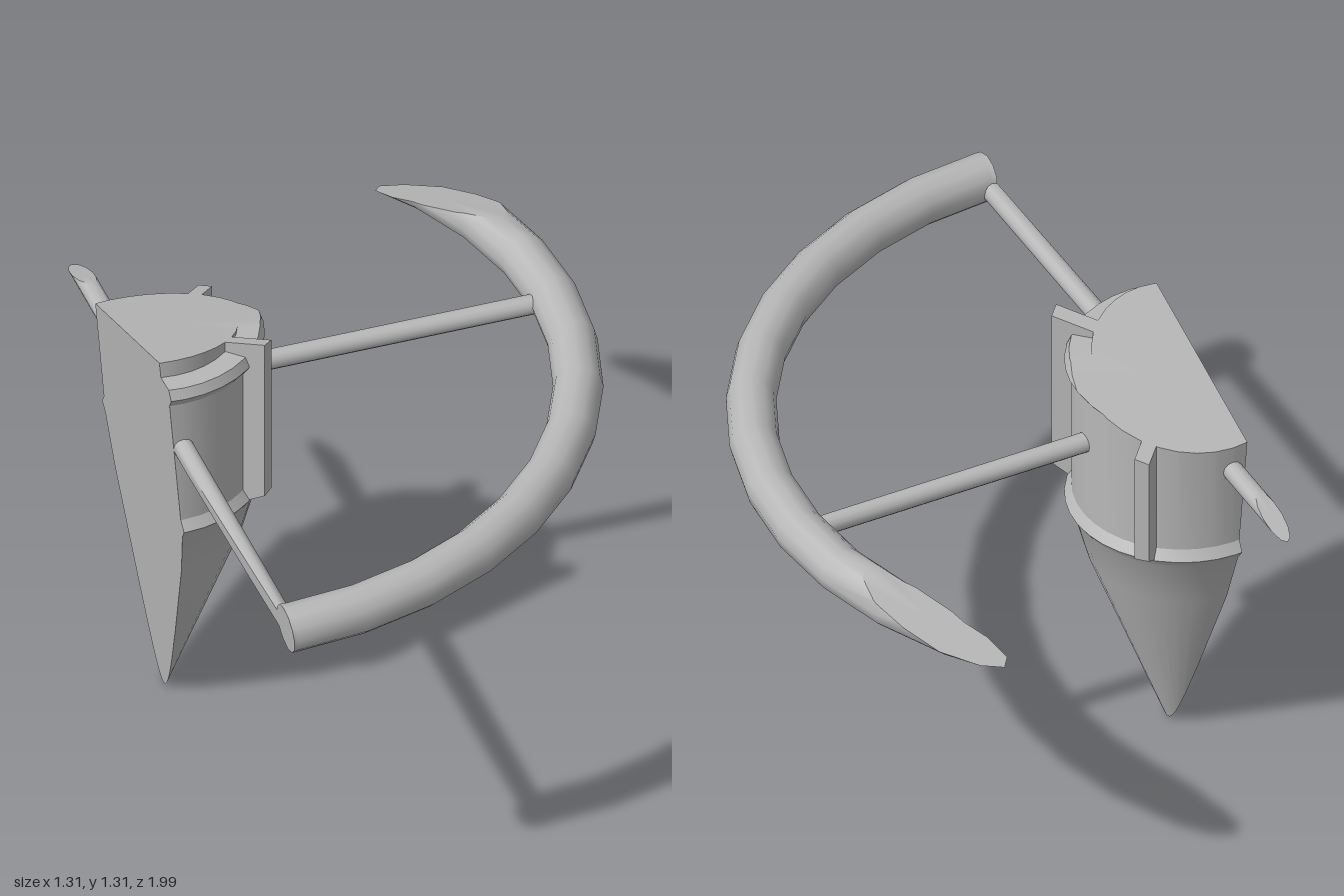
import * as THREE from 'three';
import { toCreasedNormals } from 'three/addons/utils/BufferGeometryUtils.js';

// Centre axis of the body and ring, and height of the ring
const AX = -0.605, AZ = -0.26, RING_Y = 1.045;

// Cutting planes: the kept side has a positive distance
const SIDE_CUT = { n: new THREE.Vector3(1, 0.079, -0.02), d: 0.552 };
const TOP_CUT = { n: new THREE.Vector3(0, -1, 0.333), d: 1.305 };

// Slice a list of triangle corners with a plane and cap the opening
function slice(points, { n, d }) {
  const out = [], cuts = [];
  for (let i = 0; i < points.length; i += 3) {
    const poly = [];
    let entry = null, exit = null;
    for (let k = 0; k < 3; k++) {
      const a = points[i + k], b = points[i + (k + 1) % 3];
      const da = n.dot(a) + d, db = n.dot(b) + d;
      if (da >= 0) poly.push(a);
      if ((da >= 0) !== (db >= 0)) {
        // interpolate from the kept end so shared edges match exactly
        const p = da >= 0 ? a.clone().lerp(b, da / (da - db)) : b.clone().lerp(a, db / (db - da));
        poly.push(p);
        if (da >= 0) exit = p; else entry = p;
      }
    }
    for (let k = 1; k + 1 < poly.length; k++) out.push(poly[0], poly[k], poly[k + 1]);
    if (entry && exit && entry.distanceTo(exit) > 1e-6) cuts.push([entry, exit]);
  }
  if (cuts.length) {
    const centre = new THREE.Vector3();
    let total = 0;
    for (const [a, b] of cuts) {
      const w = a.distanceTo(b);
      centre.addScaledVector(a, w / 2).addScaledVector(b, w / 2);
      total += w;
    }
    centre.divideScalar(total);
    for (const [a, b] of cuts) out.push(a, b, centre);
  }
  return out;
}

// Apply both cuts to a closed geometry and give it creased normals
function cutGeometry(geometry) {
  const pos = (geometry.index ? geometry.toNonIndexed() : geometry).attributes.position;
  let points = [];
  for (let i = 0; i < pos.count; i++) points.push(new THREE.Vector3().fromBufferAttribute(pos, i));
  points = slice(slice(points, SIDE_CUT), TOP_CUT);
  return toCreasedNormals(new THREE.BufferGeometry().setFromPoints(points), 0.55);
}

export function createModel() {
  const model = new THREE.Group();
  const grey = new THREE.MeshStandardMaterial({ color: 0xb8b8b8 });
  grey.name = 'grey';

  const add = (name, geometry) => {
    const mesh = new THREE.Mesh(cutGeometry(geometry), grey);
    mesh.name = name;
    model.add(mesh);
  };

  // Body: pointed cone, drum with two rims, and a narrower neck
  const profile = [
    [0, -0.128], [0.265, 0.58], [0.305, 0.73], [0.325, 0.76], [0.305, 0.79],
    [0.305, 1.19], [0.325, 1.22], [0.312, 1.25], [0.25, 1.25], [0.25, 1.4], [0, 1.4],
  ].map(([r, y]) => new THREE.Vector2(r, y));
  add('body', new THREE.LatheGeometry(profile, 36).translate(AX, 0, AZ));

  // Ring: part of a torus around the body
  const from = THREE.MathUtils.degToRad(-50), arc = THREE.MathUtils.degToRad(150);
  add('ring', new THREE.TorusGeometry(1.19, 0.07, 12, 15, arc)
    .rotateZ(from).rotateX(Math.PI / 2).translate(AX, RING_Y, AZ));

  // Struts from the body: angle is measured from +x towards +z
  const strut = (name, angle, end) => {
    const start = 0.2;
    add(name, new THREE.CylinderGeometry(0.029, 0.029, end - start, 12)
      .rotateZ(-Math.PI / 2).translate((start + end) / 2, 0, 0)
      .rotateY(-angle).translate(AX, 1.038, AZ));
  };
  strut('sideStrut', 0, 1.18);
  strut('frontStrut', Math.PI / 2, 1.18);
  strut('backStrut', -Math.PI / 2, 0.9);

  // Upright fins on the two diagonals
  const finShape = new THREE.Shape(
    [[0.22, 0.74], [0.32, 0.76], [0.37, 0.79], [0.37, 1.4], [0.22, 1.4]].map(([r, y]) => new THREE.Vector2(r, y)),
  );
  for (const [name, angle] of [['frontFin', Math.PI / 4], ['backFin', -Math.PI / 4]]) {
    add(name, new THREE.ExtrudeGeometry(finShape, { depth: 0.042, bevelEnabled: false })
      .translate(0, 0, -0.021).rotateY(-angle).translate(AX, 0, AZ));
  }

  return model;
}
